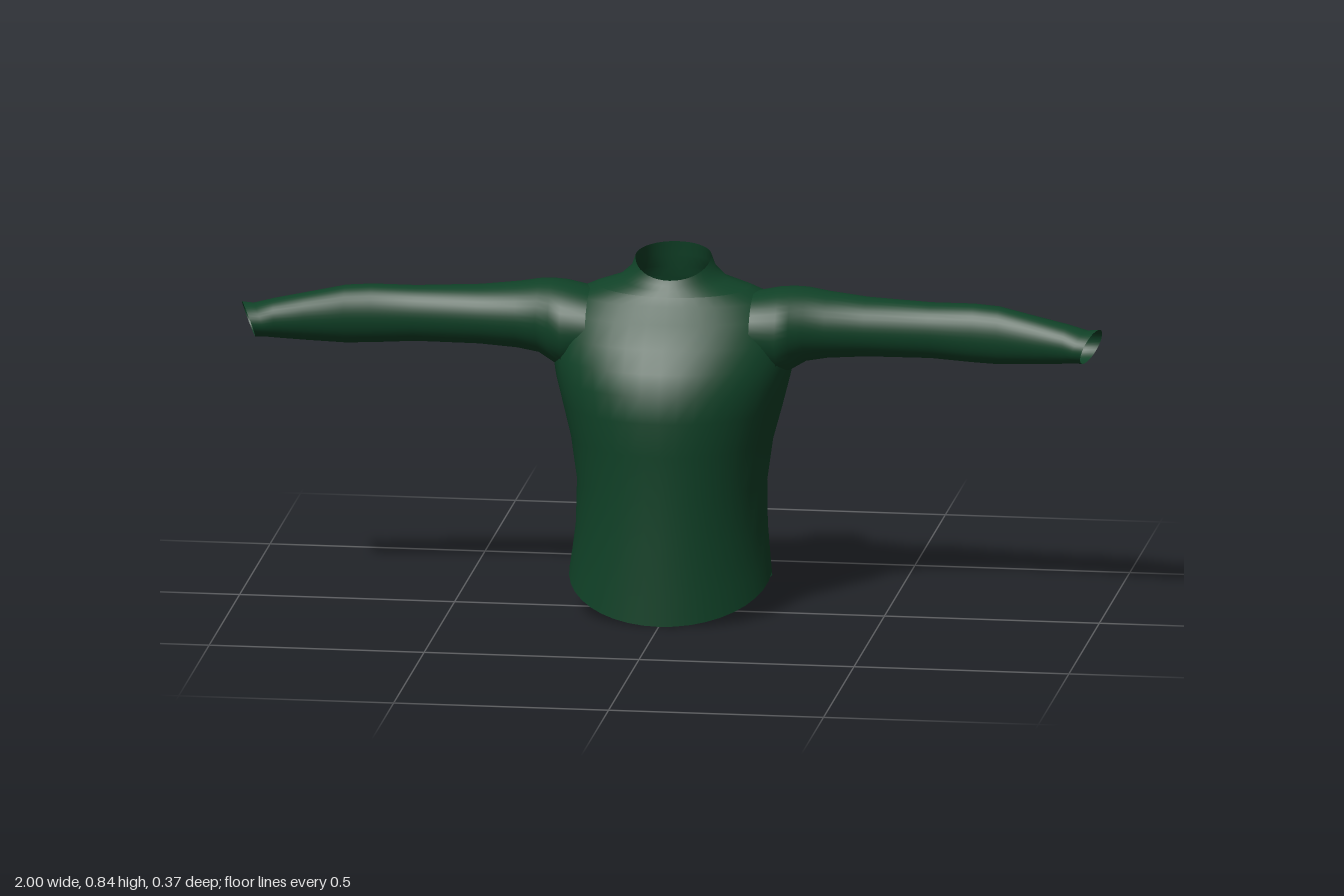
import * as THREE from 'three';

const fabric = new THREE.MeshStandardMaterial({ color: 0x104127, side: THREE.DoubleSide });
fabric.name = 'dark green knit';

const SEG = 40;
const spow = (v, p) => Math.sign(v) * Math.pow(Math.abs(v), p);

// Skins rings of points into an open tube; skip() can leave holes in it
function loft(name, rows, pointAt, skip = () => false) {
  const pos = [], index = [];
  const rings = rows.map((row) =>
    Array.from({ length: SEG }, (_, i) => pointAt(row, (i / SEG) * Math.PI * 2)));
  rings.forEach((ring) => ring.forEach((p) => pos.push(p.x, p.y, p.z)));
  for (let r = 0; r < rows.length - 1; r++) {
    for (let i = 0; i < SEG; i++) {
      const j = (i + 1) % SEG;
      const centre = new THREE.Vector3()
        .add(rings[r][i]).add(rings[r][j]).add(rings[r + 1][i]).add(rings[r + 1][j])
        .multiplyScalar(0.25);
      if (skip(centre)) continue;
      const a = r * SEG + i, b = r * SEG + j, c = a + SEG, d = b + SEG;
      index.push(a, c, b, b, c, d);
    }
  }
  const geo = new THREE.BufferGeometry();
  geo.setAttribute('position', new THREE.Float32BufferAttribute(pos, 3));
  geo.setIndex(index);
  geo.computeVertexNormals();
  const mesh = new THREE.Mesh(geo, fabric);
  mesh.name = name;
  return mesh;
}

// Body rings: y at front, side, back; half width; z front, back, widest; back squareness
const bodyRows = [
  [0.00, 0.09, 0.02, 0.235, 0.178, -0.172, -0.02, 2.2],
  [0.07, 0.13, 0.08, 0.230, 0.177, -0.165, -0.03, 2.2],
  [0.18, 0.20, 0.18, 0.222, 0.176, -0.156, -0.045, 2.2],
  [0.30, 0.30, 0.30, 0.220, 0.176, -0.155, -0.05, 2.2],
  [0.40, 0.40, 0.40, 0.234, 0.180, -0.159, -0.05, 2.3],
  [0.48, 0.48, 0.48, 0.255, 0.184, -0.168, -0.06, 2.5],
  [0.54, 0.54, 0.54, 0.270, 0.174, -0.177, -0.06, 2.9],
  [0.59, 0.59, 0.59, 0.280, 0.152, -0.183, -0.07, 3.4],
  [0.64, 0.64, 0.64, 0.280, 0.120, -0.180, -0.07, 3.5],
  [0.69, 0.69, 0.69, 0.265, 0.078, -0.172, -0.07, 3.3],
  [0.725, 0.73, 0.725, 0.235, 0.045, -0.163, -0.07, 3],
  [0.745, 0.755, 0.75, 0.180, 0.032, -0.156, -0.07, 2.5],
];
// Collar rings continue from the last body ring and tilt towards the back
const collarRows = [
  bodyRows[bodyRows.length - 1],
  [0.758, 0.772, 0.775, 0.125, 0.023, -0.150, -0.07, 2],
  [0.768, 0.795, 0.805, 0.098, 0.016, -0.146, -0.07, 2],
  [0.780, 0.822, 0.838, 0.088, 0.010, -0.140, -0.067, 2],
];

function bodyPoint([yF, yS, yB, w, zF, zB, zc, n], t) {
  const front = Math.sin(t) >= 0;
  const p = front ? 1 : 2 / n;
  const s = Math.abs(spow(Math.sin(t), p));
  return new THREE.Vector3(
    w * spow(Math.cos(t), p),
    yS + ((front ? yF : yB) - yS) * s,
    zc + ((front ? zF : zB) - zc) * s);
}

// Sleeve rings: x, y top, y bottom, z front, z back, slant of the opening
const sleeveRows = [
  [0.19, 0.745, 0.565, 0.050, -0.160, 0],
  [0.25, 0.756, 0.550, 0.050, -0.172, 0],
  [0.28, 0.757, 0.567, 0.035, -0.168, 0],
  [0.31, 0.755, 0.584, 0.020, -0.163, 0],
  [0.36, 0.746, 0.592, 0.008, -0.157, 0],
  [0.45, 0.736, 0.598, -0.005, -0.142, 0],
  [0.60, 0.730, 0.600, -0.015, -0.120, 0],
  [0.70, 0.732, 0.595, -0.008, -0.113, 0],
  [0.76, 0.730, 0.595, 0.003, -0.102, 0],
  [0.85, 0.714, 0.603, 0.020, -0.080, 0],
  [0.92, 0.701, 0.610, 0.034, -0.064, 0.003],
  [0.955, 0.690, 0.614, 0.042, -0.054, 0.012],
  [0.980, 0.692, 0.614, 0.047, -0.058, 0.014],
];

const sleevePoint = (side) => ([x, yT, yB, zF, zB, slant], t) => {
  const c = Math.cos(t), s = Math.sin(t) * side;
  return new THREE.Vector3(
    side * (x + slant * (s - c)),
    (yT + yB) / 2 + s * (yT - yB) / 2,
    (zF + zB) / 2 + c * (zF - zB) / 2);
};

export function createModel() {
  const group = new THREE.Group();
  group.name = 'sweater';

  // Armholes are left open where the sleeves join
  const armhole = (p) => Math.abs(p.x) > 0.245 && p.y > 0.6 && p.y < 0.72;
  group.add(loft('body', bodyRows, bodyPoint, armhole));
  group.add(loft('collar', collarRows, bodyPoint));

  group.add(loft('leftSleeve', sleeveRows, sleevePoint(1)));
  group.add(loft('rightSleeve', sleeveRows, sleevePoint(-1)));
  return group;
}
